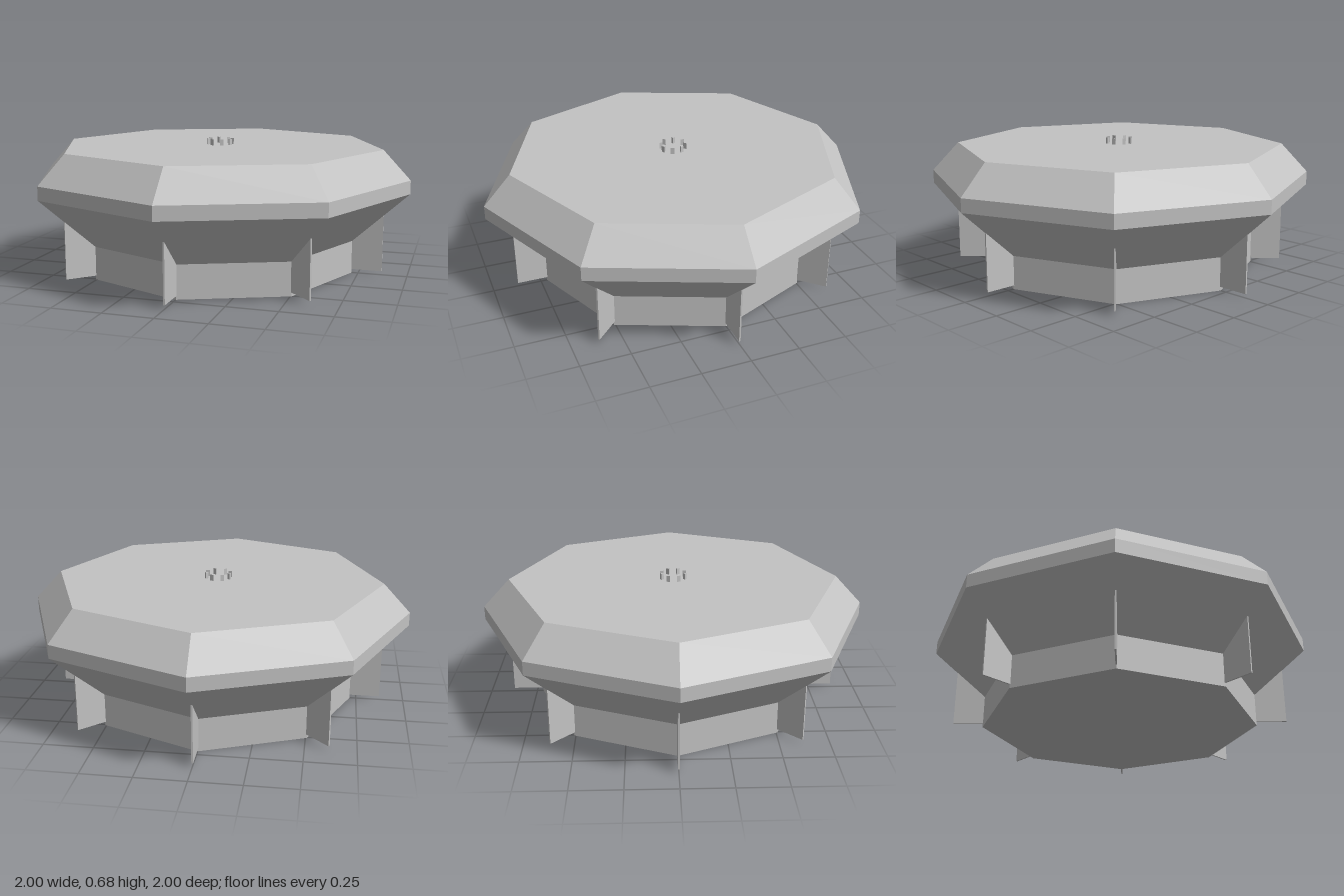
import * as THREE from 'three';

export function createModel() {
  const model = new THREE.Group();
  const grey = new THREE.MeshStandardMaterial({ color: 0xc2c2c2, flatShading: true });
  grey.name = 'stone grey';

  const add = (name, geometry) => {
    const mesh = new THREE.Mesh(geometry, grey);
    mesh.name = name;
    model.add(mesh);
    return mesh;
  };

  // Eight-sided platform: plinth, flared underside, rim and bevelled top
  const profile = [[0, 0], [0.717, 0], [0.717, 0.17], [1, 0.43], [1, 0.5], [0.86, 0.65], [0, 0.65]];
  add('platform', new THREE.LatheGeometry(profile.map(([r, y]) => new THREE.Vector2(r, y)), 8));

  // Thin support fins below each corner
  const finShape = new THREE.Shape([[0.69, 0.02], [0.872, 0.02], [0.872, 0.313], [0.715, 0.17], [0.69, 0.17]]
    .map(([r, y]) => new THREE.Vector2(r, y)));
  const finGeometry = new THREE.ExtrudeGeometry(finShape, { depth: 0.008, bevelEnabled: false });
  finGeometry.translate(0, 0, -0.004);

  // Small three-sided pegs in a ring at the centre of the top
  const pegGeometry = new THREE.CylinderGeometry(0.011, 0.011, 0.035, 3);

  for (let i = 0; i < 8; i++) {
    const angle = (i * Math.PI) / 4;
    add('supportFin', finGeometry).rotation.y = angle;

    const pegAngle = angle + Math.PI / 8;
    const peg = add('centrePeg', pegGeometry);
    peg.position.set(Math.sin(pegAngle) * 0.065, 0.6645, Math.cos(pegAngle) * 0.065);
    peg.rotation.y = pegAngle + Math.PI;
  }
  return model;
}
